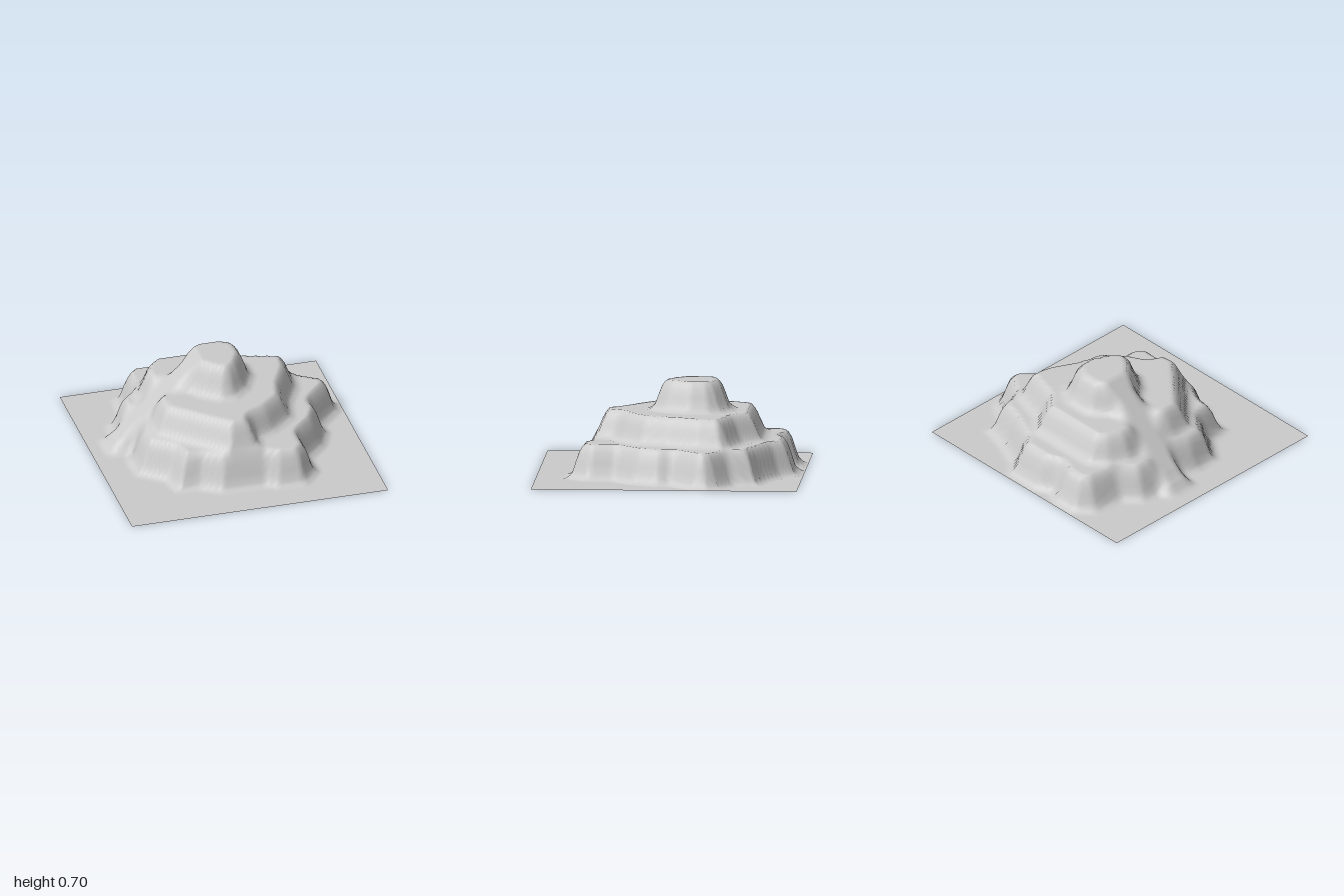
import * as THREE from 'three';

// Foot outline of each terrace, as [x, z] corners, with its rise
const terraces = [
  {
    rise: 0.26,
    foot: [
      [0.93, -0.42], [0.99, -0.32], [0.97, -0.2], [0.8, -0.02], [0.81, 0.08], [0.72, 0.28],
      [0.58, 0.42], [0.58, 0.62], [0.44, 0.78], [0.22, 0.77], [0.12, 0.72], [-0.2, 0.72],
      [-0.36, 0.63], [-0.54, 0.61], [-0.58, 0.43], [-0.76, 0.29], [-0.78, 0.08], [-0.74, -0.08],
      [-0.8, -0.3], [-0.78, -0.5], [-0.66, -0.62], [-0.63, -0.86], [-0.5, -0.98], [-0.3, -0.98],
      [-0.2, -0.93], [-0.08, -0.98], [0.2, -0.97], [0.3, -0.86], [0.52, -0.76], [0.73, -0.7],
      [0.78, -0.52],
    ],
  },
  {
    rise: 0.21,
    foot: [
      [0.6, -0.5], [0.68, -0.42], [0.65, -0.2], [0.54, 0.02], [0.49, 0.23], [0.3, 0.4],
      [0.18, 0.46], [0.14, 0.6], [-0.12, 0.62], [-0.28, 0.48], [-0.46, 0.32], [-0.6, 0.19],
      [-0.62, 0], [-0.58, -0.2], [-0.6, -0.45], [-0.52, -0.62], [-0.4, -0.72], [0.2, -0.72],
      [0.34, -0.58],
    ],
  },
  {
    rise: 0.23,
    foot: [
      [0.22, -0.4], [0.28, -0.3], [0.28, -0.12], [0.18, 0.08], [0.06, 0.18], [-0.06, 0.18],
      [-0.2, 0.08], [-0.32, -0.08], [-0.36, -0.24], [-0.27, -0.38], [-0.14, -0.48], [0.08, -0.48],
    ],
  },
];

// Distance inside an outline, negative outside
function insideDistance(x, z, outline) {
  let nearest = Infinity;
  let inside = false;
  outline.forEach(([ax, az], i) => {
    const [bx, bz] = outline[(i + 1) % outline.length];
    const ex = bx - ax, ez = bz - az;
    const t = THREE.MathUtils.clamp(((x - ax) * ex + (z - az) * ez) / (ex * ex + ez * ez), 0, 1);
    nearest = Math.min(nearest, Math.hypot(x - ax - t * ex, z - az - t * ez));
    if ((az > z) !== (bz > z) && x < ax + ((z - az) / ez) * ex) inside = !inside;
  });
  return inside ? nearest : -nearest;
}

// Bank section: shallow toe, steep face, eased shoulder
const bank = [[0, 0], [0.05, 0.13], [0.1, 0.74], [0.14, 1]];
function bankHeight(d) {
  if (d <= 0) return 0;
  for (let i = 1; i < bank.length; i++) {
    const [d0, h0] = bank[i - 1], [d1, h1] = bank[i];
    if (d < d1) return h0 + ((h1 - h0) * (d - d0)) / (d1 - d0);
  }
  return 1;
}

function terrainHeight(x, z) {
  let h = 0;
  for (const { rise, foot } of terraces) h += rise * bankHeight(insideDistance(x, z, foot));
  // Straight ramp climbing one side to the summit
  if (x < -0.12) {
    const ramp = Math.max(0, Math.min(0.7, (x + 0.15) * 0.95 + 0.7));
    const toe = x < -0.75 ? Math.max(0, (x + 0.9) * 0.55) : ramp;
    const mask = 1 - THREE.MathUtils.smoothstep(Math.abs(z + 0.19), 0.06, 0.17);
    h = THREE.MathUtils.lerp(h, Math.min(ramp, toe + 0.03 * (x > -0.85 ? 1 : 0)), mask);
  }
  return h;
}

export function createModel() {
  const group = new THREE.Group();
  group.name = 'terracedHill';

  // Ground sheet raised into the hill
  const geometry = new THREE.PlaneGeometry(2, 2, 80, 80).rotateX(-Math.PI / 2);
  const position = geometry.attributes.position;
  for (let i = 0; i < position.count; i++) {
    position.setY(i, terrainHeight(position.getX(i), position.getZ(i)));
  }
  geometry.computeVertexNormals();

  const terrain = new THREE.Mesh(
    geometry,
    new THREE.MeshStandardMaterial({ color: 0xcccccc, side: THREE.DoubleSide }),
  );
  terrain.name = 'terrain';
  group.add(terrain);
  return group;
}
